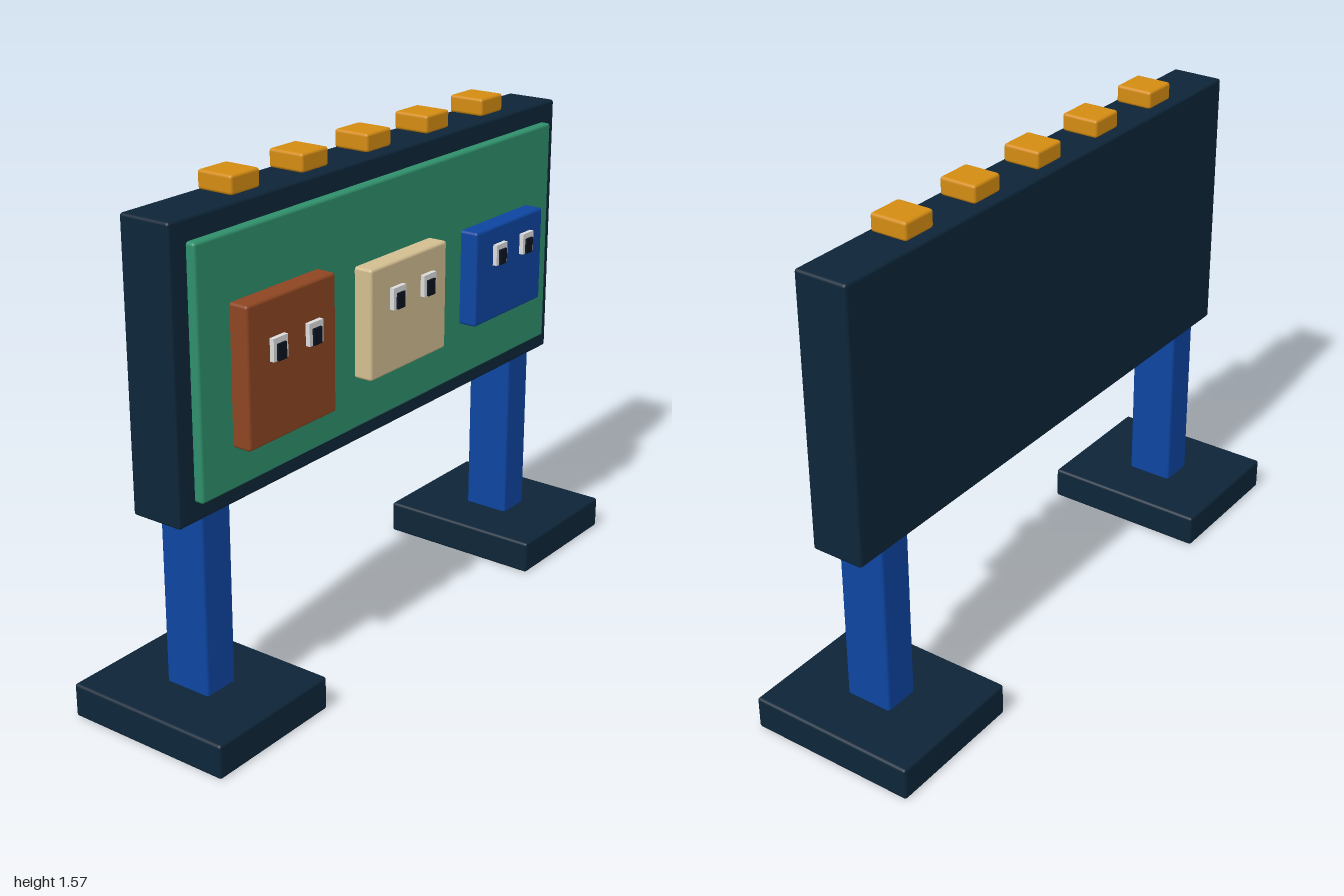
import * as THREE from 'three';
import { RoundedBoxGeometry } from 'three/addons/geometries/RoundedBoxGeometry.js';

function material(name, color) {
  const m = new THREE.MeshStandardMaterial({ color });
  m.name = name;
  return m;
}

export function createModel() {
  const navy = material('navy', 0x0d2538);
  const blue = material('blue', 0x0d45a0);
  const green = material('green', 0x2f8f6b);
  const brown = material('brown', 0x8d4522);
  const tan = material('tan', 0xd2bd90);
  const amber = material('amber', 0xd48c12);
  const white = material('white', 0xdcdcdc);
  const black = material('pupil black', 0x0a1420);

  const model = new THREE.Group();
  model.name = 'billboard';

  // Softly bevelled box given by its limits on each axis
  function box(name, mat, [x0, x1], [y0, y1], [z0, z1], bevel = 0.009, parent = model) {
    const w = x1 - x0, h = y1 - y0, d = z1 - z0;
    const geometry = bevel > 0
      ? new RoundedBoxGeometry(w, h, d, 2, bevel)
      : new THREE.BoxGeometry(w, h, d);
    const mesh = new THREE.Mesh(geometry, mat);
    mesh.position.set((x0 + x1) / 2, (y0 + y1) / 2, (z0 + z1) / 2);
    mesh.name = name;
    parent.add(mesh);
    return mesh;
  }
  const around = (c, size) => [c - size / 2, c + size / 2];

  // Board and its front panel
  box('frame', navy, [-0.92, 0.92], [0.658, 1.506], [-0.085, 0.085]);
  box('panel', green, [-0.857, 0.857], [0.718, 1.443], [0.07, 0.113]);

  // Posts and feet
  for (const [side, s] of [['left', 1], ['right', -1]]) {
    box(side + 'Post', blue, around(s * 0.766, 0.118), [0.09, 0.67], [-0.077, 0.077]);
    box(side + 'Foot', navy, around(s * 0.768, 0.464), [0, 0.105], [-0.275, 0.275]);
  }

  // Row of lamps along the top
  for (let i = -2; i <= 2; i++) {
    box('lamp', amber, around(i * 0.295, 0.118), [1.513, 1.568], [-0.06, 0.06]);
  }

  // Square faces, each with a pair of eyes
  const faces = [
    ['brownFace', brown, -0.54, 0.412],
    ['tanFace', tan, 0, 0.338],
    ['blueFace', blue, 0.54, 0.304],
  ];
  for (const [name, mat, x, height] of faces) {
    const face = new THREE.Group();
    face.name = name;
    model.add(face);
    box('plate', mat, around(x, 0.377), around(1.047, height), [0.1, 0.172], 0.009, face);
    for (const s of [-1, 1]) {
      const ex = x + s * 0.076;
      box('eyeWhite', white, around(ex, 0.06), around(1.112, 0.066), [0.178, 0.192], 0, face);
      box('pupil', black, around(ex, 0.034), around(1.104, 0.048), [0.19, 0.199], 0, face);
    }
  }

  return model;
}
